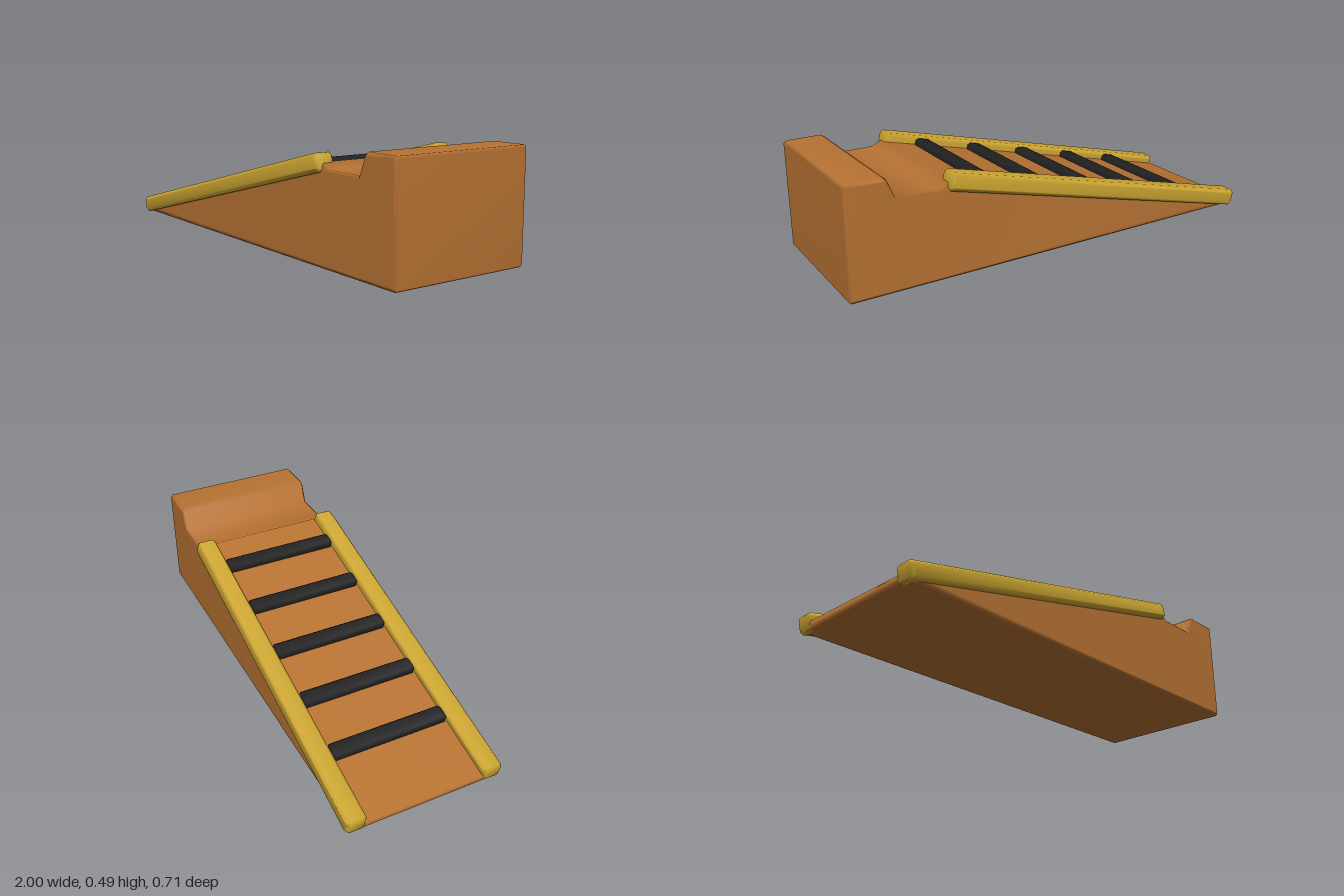
import * as THREE from 'three';
import { mergeVertices } from 'three/addons/utils/BufferGeometryUtils.js';

const SLOPE = Math.atan(0.25);
const rampY = (x) => 0.229 + (x + 0.22) * 0.25; // height of the ramp surface

// Extrude an outline across z with one bevel step and softened normals
function bevelled(points, width, bevel) {
  const shape = new THREE.Shape(points.map(([x, y]) => new THREE.Vector2(x, y)));
  const geo = new THREE.ExtrudeGeometry(shape, {
    depth: width - 2 * bevel, bevelEnabled: true, bevelThickness: bevel,
    bevelSize: bevel, bevelOffset: -bevel, bevelSegments: 1, steps: 1,
  });
  geo.translate(0, 0, bevel - width / 2);
  geo.deleteAttribute('uv');
  geo.deleteAttribute('normal');
  const merged = mergeVertices(geo, 1e-5);
  merged.computeVertexNormals();
  return merged;
}

// Box with every edge chamfered
function chamferBox(length, height, width, c) {
  const a = length / 2, b = height / 2;
  return bevelled([
    [-a + c, -b], [a - c, -b], [a, -b + c], [a, b - c],
    [a - c, b], [-a + c, b], [-a, b - c], [-a, -b + c],
  ], width, c);
}

export function createModel() {
  const model = new THREE.Group();
  model.name = 'ramp';
  const wood = new THREE.MeshStandardMaterial({ color: 0xb87333 });
  wood.name = 'orange brown';
  const gold = new THREE.MeshStandardMaterial({ color: 0xcda632 });
  gold.name = 'gold';
  const black = new THREE.MeshStandardMaterial({ color: 0x222222 });
  black.name = 'black';

  const add = (name, geometry, material, x, y, z, tilt = 0) => {
    const mesh = new THREE.Mesh(geometry, material);
    mesh.name = name;
    mesh.position.set(x, y, z);
    mesh.rotation.z = tilt;
    model.add(mesh);
  };

  // Wedge with a shallow step and a raised stop at the high end
  add('wedgeBody', bevelled([
    [-0.98, 0.003], [0.986, 0.003], [0.996, 0.013], [0.996, 0.477], [0.986, 0.488],
    [0.832, 0.488], [0.815, 0.477], [0.782, 0.396], [0.6, 0.396],
    [0.55, rampY(0.55)], [-0.99, rampY(-0.99)], [-0.99, 0.013],
  ], 0.664, 0.01), wood, 0, 0, 0);

  // Side rails
  const railGeo = chamferBox(1.6, 0.077, 0.088, 0.013);
  add('leftRail', railGeo, gold, -0.22, 0.229, 0.311, SLOPE);
  add('rightRail', railGeo, gold, -0.22, 0.229, -0.311, SLOPE);

  // Grip strips across the slope
  const stripGeo = chamferBox(0.072, 0.05, 0.535, 0.011);
  for (let i = 0; i < 5; i++) {
    const x = -0.68 + i * 0.266;
    add('gripStrip' + (i + 1), stripGeo, black, x, rampY(x) + 0.006, 0, SLOPE);
  }
  return model;
}
